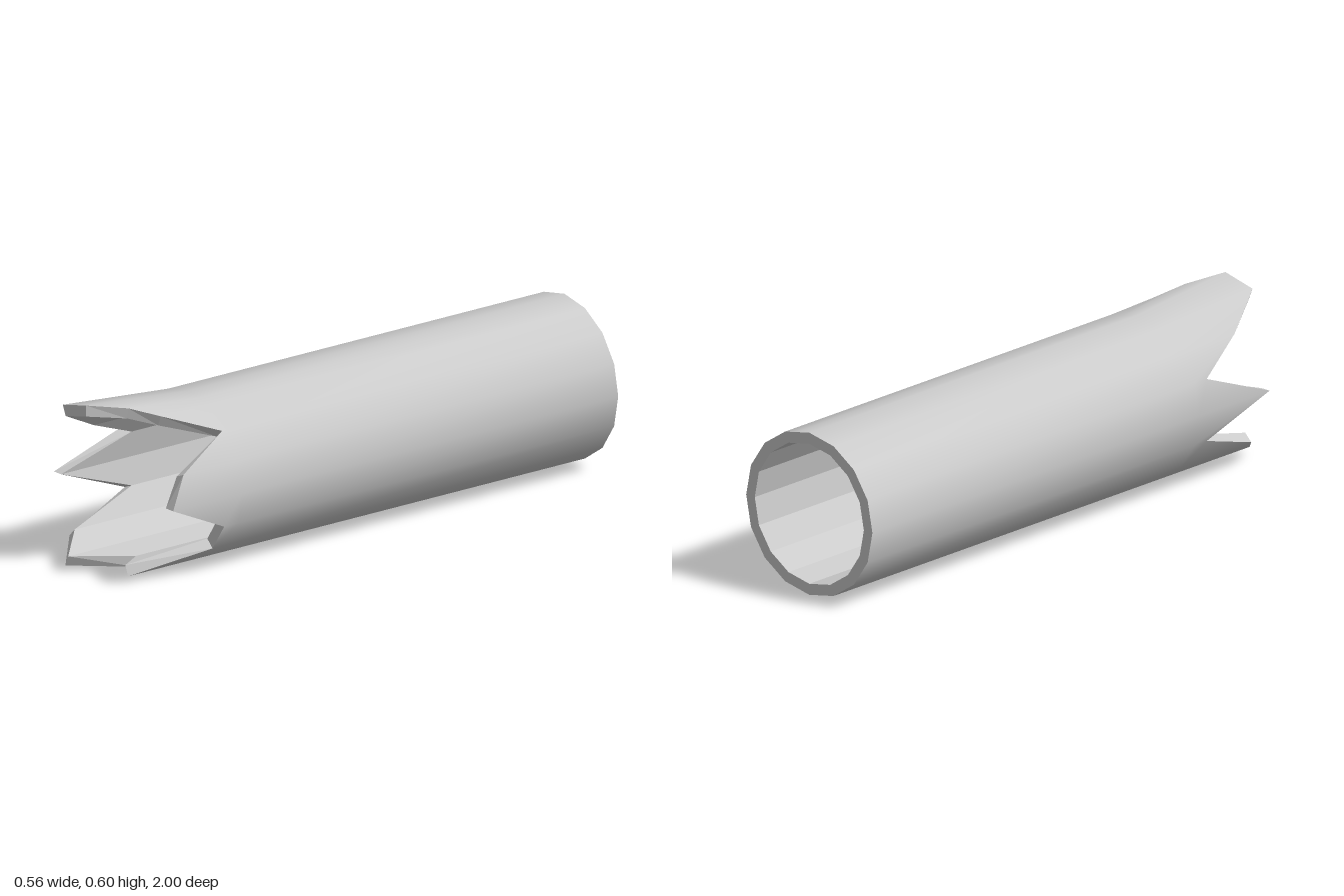
import * as THREE from 'three';

const SIDES = 16, OUTER = 0.28, INNER = 0.242, CENTRE_Y = 0.28;
const BACK = -1, BEND = 0.57;

// Jagged front edge, clockwise from the top: [side index, z of the edge, outward bend]
const EDGE = [
  [0, 1, 0.04], [0.5, 0.87, 0.03], [1, 0.775, 0.006], [2, 0.59, 0],
  [3, 0.8, 0], [4, 0.86, 0], [5, 0.63, 0], [6, 0.63, 0],
  [7, 0.91, 0], [8, 0.79, 0], [9, 1, 0], [10, 0.91, 0],
  [11, 0.63, 0], [12, 0.91, 0], [13, 0.63, 0], [14, 0.83, 0], [15, 1, 0.035],
];

// Point on the polygonal tube; fractional indices lie on the flat of a side
function ringPoint(index, radius, z) {
  const corner = (k) => {
    const a = (k / SIDES) * Math.PI * 2;
    return new THREE.Vector3(Math.sin(a) * radius, CENTRE_Y + Math.cos(a) * radius, z);
  };
  const k = Math.floor(index);
  return corner(k).lerp(corner(k + 1), index - k);
}

// Rings of points along the tube: back end, start of the bend, broken edge
function wallRings(radius) {
  return [
    EDGE.map(([k]) => ringPoint(k, radius, BACK)),
    EDGE.map(([k]) => ringPoint(k, radius, BEND)),
    EDGE.map(([k, z, bend]) => ringPoint(k, radius + bend, z)),
  ];
}

// Skin a list of closed rings
function skin(rings, smooth) {
  const n = EDGE.length, index = [];
  for (let r = 0; r < rings.length - 1; r++) {
    for (let i = 0; i < n; i++) {
      const j = (i + 1) % n;
      const a = r * n + i, b = r * n + j, c = b + n, d = a + n;
      index.push(a, d, c, a, c, b);
    }
  }
  let geometry = new THREE.BufferGeometry().setFromPoints(rings.flat());
  geometry.setIndex(index);
  if (!smooth) geometry = geometry.toNonIndexed();
  geometry.computeVertexNormals();
  return geometry;
}

export function createModel() {
  const group = new THREE.Group();
  group.name = 'brokenPipe';
  const material = new THREE.MeshStandardMaterial({ color: 0xcccccc });
  const add = (name, rings, smooth) => {
    const mesh = new THREE.Mesh(skin(rings, smooth), material);
    mesh.name = name;
    group.add(mesh);
  };

  const outer = wallRings(OUTER), inner = wallRings(INNER);
  add('outerWall', outer, true);
  add('innerWall', [...inner].reverse(), false);
  add('brokenEdge', [outer[2], inner[2]], false);
  add('backRim', [inner[0], outer[0]], false);
  return group;
}
